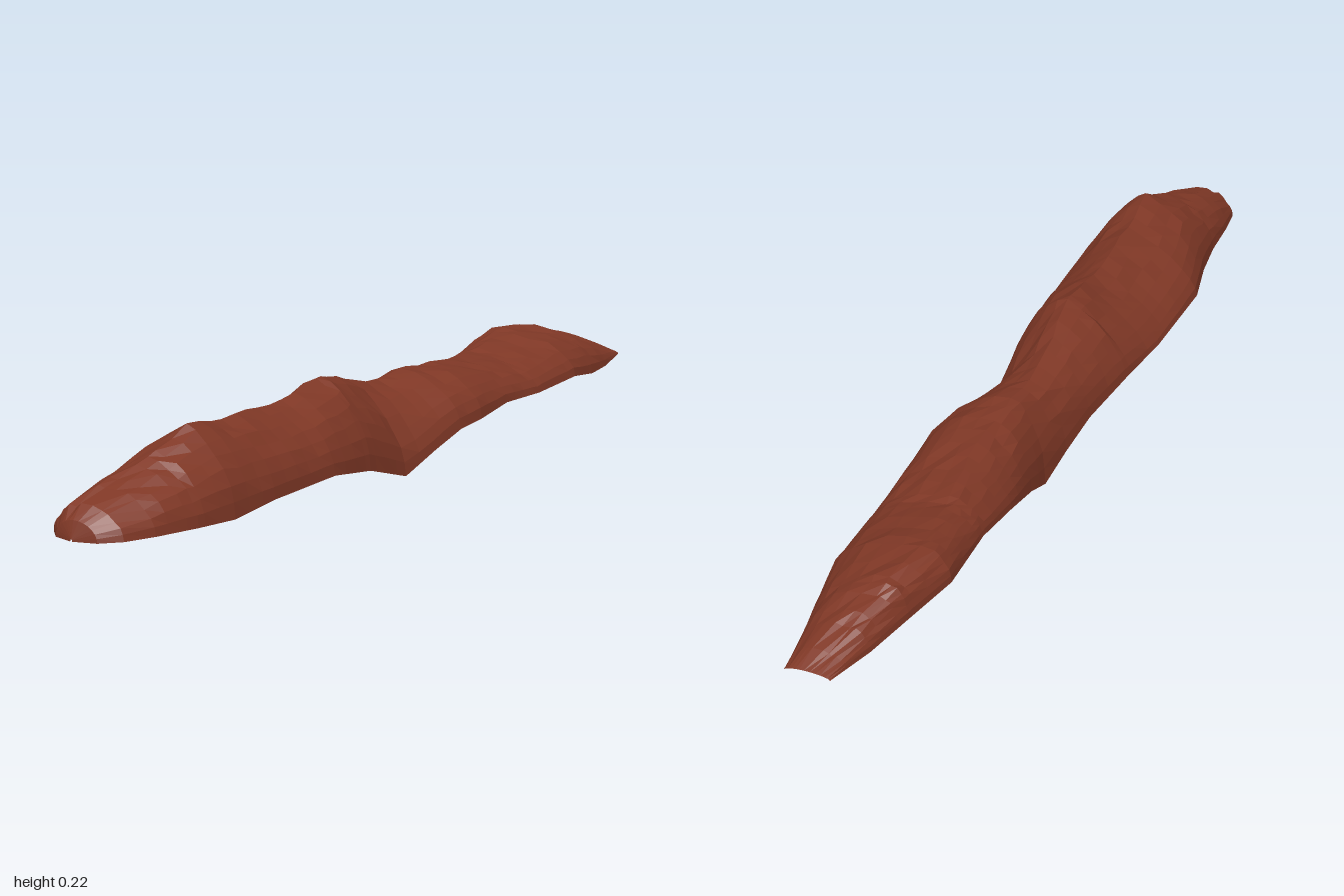
import * as THREE from 'three';

// Stations along the bark: z, left edge x, left edge y, crest x, crest y, right edge x, right edge y
const STATIONS = [
  [-1.0, -0.05, 0.08, 0.0, 0.088, 0.04, 0.078],
  [-0.9, -0.08, 0.085, -0.03, 0.13, 0.058, 0.068],
  [-0.8, -0.108, 0.1, -0.065, 0.163, 0.078, 0.07],
  [-0.68, -0.137, 0.112, -0.08, 0.176, 0.098, 0.085],
  [-0.5, -0.12, 0.1, -0.045, 0.152, 0.107, 0.08],
  [-0.35, -0.112, 0.07, -0.025, 0.16, 0.112, 0.085],
  [-0.22, -0.097, 0.03, -0.02, 0.173, 0.125, 0.075],
  [-0.14, -0.092, 0.0, -0.02, 0.175, 0.122, 0.067],
  [-0.05, -0.098, 0.025, -0.02, 0.17, 0.115, 0.04],
  [0.05, -0.107, 0.05, -0.015, 0.183, 0.106, 0.005],
  [0.2, -0.125, 0.065, 0.0, 0.22, 0.115, 0.045],
  [0.35, -0.137, 0.067, 0.01, 0.195, 0.128, 0.065],
  [0.57, -0.137, 0.07, 0.02, 0.2, 0.135, 0.063],
  [0.7, -0.104, 0.06, 0.028, 0.212, 0.134, 0.052],
  [0.8, -0.088, 0.058, 0.015, 0.17, 0.122, 0.055],
  [0.9, -0.082, 0.06, -0.005, 0.135, 0.1, 0.057],
  [0.96, -0.074, 0.06, -0.01, 0.113, 0.075, 0.057],
  [0.99, -0.048, 0.058, -0.01, 0.092, 0.04, 0.056],
  [1.0, -0.01, 0.056, -0.008, 0.06, -0.006, 0.056],
];
const RINGS = 46, SIDES = 14;

// Repeatable noise in the range -1 to 1
function noise(i, j) {
  const s = Math.sin(i * 127.1 + j * 311.7 + 4.3) * 43758.5453;
  return 2 * (s - Math.floor(s)) - 1;
}

function sampleStation(z) {
  let k = 0;
  while (k < STATIONS.length - 2 && z > STATIONS[k + 1][0]) k++;
  const a = STATIONS[k], b = STATIONS[k + 1];
  const t = (z - a[0]) / (b[0] - a[0]);
  return a.map((v, n) => THREE.MathUtils.lerp(v, b[n], t));
}

// Smooth hump of height 1 at z = center
const hump = (z, center, width) => Math.exp(-(((z - center) / width) ** 2));

// Rings at every station, with even spacing between them
function ringPositions() {
  const zs = STATIONS.map((s) => s[0]);
  for (let i = 1; i < RINGS; i++) {
    const z = -1 + (2 * i) / RINGS;
    if (zs.every((c) => Math.abs(c - z) > 0.016)) zs.push(z);
  }
  return zs.sort((a, b) => a - b);
}

// Arched open shell, swept from the thin back end to the closed nose
function barkGeometry() {
  const positions = [], index = [];
  const zs = ringPositions();
  zs.forEach((z, i) => {
    const [, xl, yl, xc, yc, xr, yr] = sampleStation(z);
    // flank shape: 0 is a round arch, 1 is a straight tent slope
    const leftTent = 0.72 * hump(z, 0.38, 0.32) + 0.35 * hump(z, -0.35, 0.15);
    const rightTent = 0.3 * hump(z, 0.45, 0.35) + 0.35 * hump(z, 0, 0.12) + 0.2 * hump(z, -0.6, 0.25);
    const rough = i > 0 && z < 0.98 ? 0.004 : 0;
    for (let j = 0; j <= SIDES; j++) {
      const a = (Math.PI * j) / SIDES;
      const left = j <= SIDES / 2;
      const edgeX = left ? xl : xr, edgeY = left ? yl : yr;
      const out = Math.abs(Math.cos(a));
      const rise = THREE.MathUtils.lerp(Math.sin(a), 1 - out, left ? leftTent : rightTent);
      positions.push(
        xc + (edgeX - xc) * out + rough * noise(i, j) * rise,
        edgeY + (yc - edgeY) * rise + rough * noise(j + 50, i) * Math.sin(a),
        z,
      );
    }
  });
  const row = SIDES + 1;
  for (let i = 0; i < zs.length - 1; i++) {
    for (let j = 0; j < SIDES; j++) {
      const a = i * row + j, b = a + row;
      index.push(a, b, a + 1, b, b + 1, a + 1);
    }
  }
  const indexed = new THREE.BufferGeometry();
  indexed.setAttribute('position', new THREE.Float32BufferAttribute(positions, 3));
  indexed.setIndex(index);
  const geometry = indexed.toNonIndexed();
  geometry.computeVertexNormals();
  return geometry;
}

export function createModel() {
  const group = new THREE.Group();
  group.name = 'barkStrip';
  const bark = new THREE.MeshStandardMaterial({ color: 0x803826, flatShading: true, side: THREE.DoubleSide });
  bark.name = 'reddish brown bark';
  const shell = new THREE.Mesh(barkGeometry(), bark);
  shell.name = 'barkShell';
  group.add(shell);
  return group;
}
